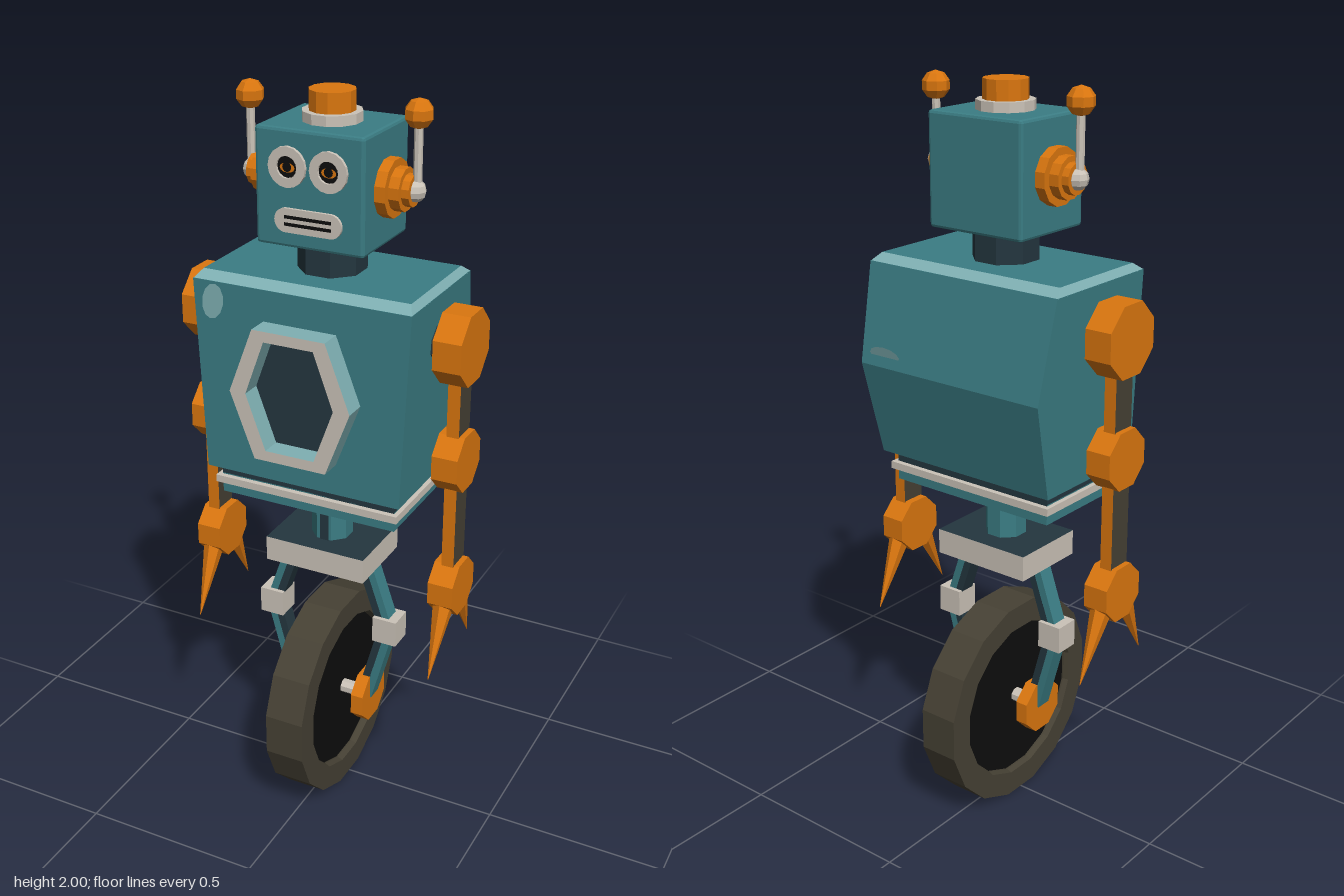
import * as THREE from 'three';
import { RoundedBoxGeometry } from 'three/addons/geometries/RoundedBoxGeometry.js';

function material(name, color) {
  const m = new THREE.MeshStandardMaterial({ color, flatShading: true });
  m.name = name;
  return m;
}

export function createModel() {
  const teal = material('teal', 0x3b7d84), paleTeal = material('pale teal', 0x7fb0b3);
  const orange = material('orange', 0xda760f), grey = material('warm grey', 0xcbc3b8);
  const dark = material('dark slate', 0x24363f), rubber = material('rubber', 0x464134);
  const black = material('black', 0x0d0d0d);
  const model = new THREE.Group();
  model.name = 'robot';

  function add(name, geometry, mat, x = 0, y = 0, z = 0, parent = model) {
    const mesh = new THREE.Mesh(geometry, mat);
    mesh.name = name;
    mesh.position.set(x, y, z);
    parent.add(mesh);
    return mesh;
  }
  const box = (w, h, d) => new THREE.BoxGeometry(w, h, d);
  // Upright cylinder with flats facing the axes
  const post = (r, h, n = 8, r2 = r) => new THREE.CylinderGeometry(r2, r, h, n, 1, false, Math.PI / n);
  // Disc whose axis runs along x
  const disc = (r, w, n = 8) => post(r, w, n).rotateZ(Math.PI / 2);
  const extrude = (shape, depth, curveSegments = 10) =>
    new THREE.ExtrudeGeometry(shape, { depth, bevelEnabled: false, curveSegments });
  const polygon = (pts) => new THREE.Shape(pts.map(([x, y]) => new THREE.Vector2(x, y)));
  // Straight member between two points
  function between(mesh, a, b) {
    const dir = b.clone().sub(a).normalize();
    mesh.position.copy(a).add(b).multiplyScalar(0.5);
    mesh.quaternion.setFromUnitVectors(new THREE.Vector3(0, 1, 0), dir);
    return mesh;
  }
  const v = (x, y, z) => new THREE.Vector3(x, y, z);

  // Wheel: lathed tyre with a recessed black centre
  const section = [[0.225, -0.04], [0.23, -0.055], [0.299, -0.055], [0.299, 0.055], [0.23, 0.055],
    [0.225, 0.04], [0.225, -0.04]].map(([r, h]) => new THREE.Vector2(r, h));
  const tyre = new THREE.LatheGeometry(section, 16, Math.PI / 16).rotateZ(Math.PI / 2);
  add('tyre', tyre, rubber, 0, 0.295);
  add('wheelDisc', disc(0.229, 0.07, 16), black, 0, 0.295);
  add('axle', disc(0.02, 0.22), grey, 0, 0.3);

  // Pelvis and spine
  add('pelvis', box(0.29, 0.07, 0.22), [grey, grey, dark, dark, grey, grey], 0, 0.765);
  add('spine', post(0.056, 0.14), teal, 0, 0.867);
  add('spineFront', box(0.024, 0.135, 0.006), dark, 0.002, 0.867, 0.052);

  // Waist
  add('waist', box(0.5, 0.055, 0.3), teal, 0, 0.9625);
  add('waistBand', box(0.525, 0.02, 0.33), grey, 0, 0.977);
  add('waistTop', box(0.5, 0.04, 0.3), dark, 0, 1.005);

  // Torso: side profile extruded across x, narrowing downwards
  const profile = polygon([[0.18, 1.02], [0.18, 1.537], [-0.182, 1.537], [-0.24, 1.28], [-0.18, 1.02]]);
  const torso = extrude(profile, 2).translate(0, 0, -1).rotateY(-Math.PI / 2);
  const p = torso.attributes.position;
  for (let i = 0; i < p.count; i++) {
    p.setX(i, p.getX(i) * (0.275 + 0.023 * (p.getY(i) - 1.02) / 0.517));
  }
  add('torso', torso, teal);
  const cap = box(0.596, 0.02, 0.362);
  const c = cap.attributes.position;
  for (let i = 0; i < c.count; i++) {
    if (c.getY(i) > 0) c.setXYZ(i, c.getX(i) * 0.95, c.getY(i), c.getZ(i) * 0.84);
  }
  add('torsoTop', cap, [paleTeal, paleTeal, teal, teal, paleTeal, paleTeal], 0, 1.546, -0.001);

  // Worn patches on chest and back
  const patch = new THREE.CircleGeometry(1, 12);
  const chestPatch = add('chestPatch', patch, paleTeal, -0.242, 1.485, 0.183);
  chestPatch.scale.set(0.03, 0.048, 1);
  chestPatch.rotation.z = -0.2;
  const backPatch = add('backPatch', patch, paleTeal, 0.21, 1.313, -0.235);
  backPatch.scale.set(0.05, 0.022, 1);
  backPatch.rotation.set(-0.222, Math.PI, 0);

  // Chest window: six-sided frame
  const hex = (w, t, h) => [[w, 0], [t, h], [-t, h], [-w, 0], [-t, -h], [t, -h]];
  const ring = polygon(hex(0.167, 0.1, 0.175));
  ring.holes.push(polygon(hex(0.122, 0.068, 0.147)));
  add('chestFrame', extrude(ring, 0.06), [grey, paleTeal], 0, 1.28, 0.18);
  add('chestWindow', extrude(polygon(hex(0.123, 0.069, 0.148)), 0.004), dark, 0, 1.28, 0.18);

  // Neck and head
  add('neck', post(0.088, 0.1), dark, 0, 1.595);
  add('head', new RoundedBoxGeometry(0.29, 0.29, 0.25, 1, 0.008), teal, 0, 1.78);
  add('crownRing', post(0.075, 0.026, 12), grey, 0, 1.937);
  add('crownCap', post(0.058, 0.055, 12), orange, 0, 1.9725);

  // Mouth: rounded plate with dark slits
  const lips = new THREE.Shape();
  lips.absarc(0.06, 0, 0.03, -Math.PI / 2, Math.PI / 2);
  lips.absarc(-0.06, 0, 0.03, Math.PI / 2, Math.PI * 1.5);
  add('mouth', extrude(lips, 0.009), grey, 0, 1.705, 0.124);
  for (const dy of [-0.01, 0.008]) add('mouthSlit', box(0.125, 0.008, 0.003), black, 0, 1.706 + dy, 0.133);

  // Parts mirrored on both sides
  for (const s of [1, -1]) {
    const eye = new THREE.Group();
    eye.name = s > 0 ? 'leftEye' : 'rightEye';
    eye.position.set(s * 0.055, 1.835, 0.125);
    model.add(eye);
    const rim = new THREE.Shape().absarc(0, 0, 0.05, 0, Math.PI * 2);
    rim.holes.push(new THREE.Path().absarc(0, 0, 0.027, 0, Math.PI * 2));
    add('eyeRim', extrude(rim, 0.009, 8), grey, 0, 0, 0, eye);
    add('eyeball', new THREE.CircleGeometry(0.028, 16), black, 0, 0, 0.002, eye);
    add('iris', new THREE.CircleGeometry(0.02, 12), orange, 0, -0.002, 0.004, eye).scale.y = 0.6;
    add('pupil', new THREE.CircleGeometry(0.012, 12), black, 0, 0, 0.006, eye);

    // Ear and antenna
    add('earPlate', disc(0.073, 0.03, 12), orange, s * 0.158, 1.78);
    add('earStep', disc(0.054, 0.03, 12), orange, s * 0.185, 1.78);
    add('earTip', disc(0.04, 0.025, 12), orange, s * 0.207, 1.78);
    add('antennaBase', new THREE.SphereGeometry(0.028, 8, 6), grey, s * 0.22, 1.78);
    add('antennaRod', post(0.011, 0.16), grey, s * 0.225, 1.86);
    add('antennaKnob', new THREE.SphereGeometry(0.037, 8, 5), orange, s * 0.225, 1.964);

    // Arm
    const armMats = [rubber, rubber, orange, orange, orange, orange];
    add('shoulderAxle', disc(0.05, 0.07), dark, s * 0.29, 1.41);
    add('shoulder', disc(0.1, 0.075), orange, s * 0.353, 1.41);
    add('upperArm', box(0.034, 0.31, 0.07), armMats, s * 0.354, 1.255);
    add('elbow', disc(0.083, 0.07), orange, s * 0.351, 1.1);
    add('forearm', box(0.034, 0.37, 0.07), armMats, s * 0.354, 0.915);
    add('hand', disc(0.08, 0.07), orange, s * 0.351, 0.73);
    for (const f of [1, -1]) {
      between(add('claw', new THREE.CylinderGeometry(0.001, 0.033, 0.235, 6), orange),
        v(s * 0.352, 0.715, f * 0.035), v(s * 0.352, 0.507, f * 0.135));
    }

    // Leg: two bars per segment, teal outside and slate inside
    const hip = [0.108, 0.735], knee = [0.175, 0.54], ankle = [0.113, 0.31];
    for (const [name, a, b] of [['thigh', hip, knee], ['shin', knee, ankle]]) {
      const length = Math.hypot(a[0] - b[0], a[1] - b[1]) + 0.01;
      for (const [mat, off] of [[teal, 0.011], [dark, -0.011]]) {
        between(add(name, box(0.022, length, 0.046), mat),
          v(s * (b[0] + off), b[1], 0), v(s * (a[0] + off), a[1], 0));
      }
    }
    add('knee', box(0.07, 0.075, 0.07), grey, s * 0.175, 0.542);
    add('hub', disc(0.078, 0.036), orange, s * 0.112, 0.3);
  }
  return model;
}
